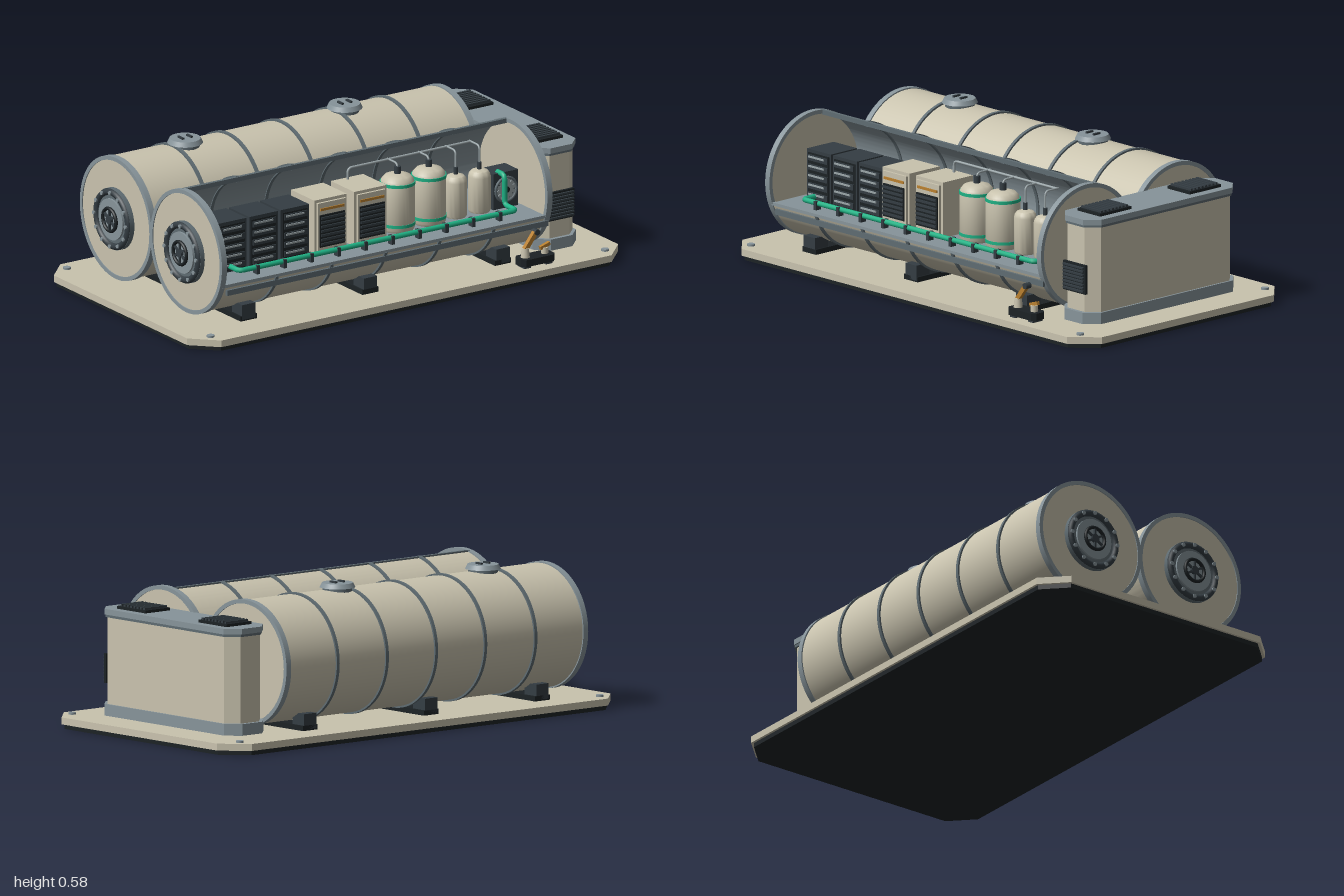
import * as THREE from 'three';
import { toCreasedNormals } from 'three/addons/utils/BufferGeometryUtils.js';

const mat = (name, color) => Object.assign(new THREE.MeshStandardMaterial({ color }), { name });
const tan = mat('warm tan', 0xc9c3ae), grey = mat('blue grey', 0x87949a), trim = mat('trim grey', 0x5f6c72);
const dark = mat('charcoal', 0x343d43), black = mat('near black', 0x1c2225);
const green = mat('pipe green', 0x1fb285), orange = mat('amber', 0xb9802f);
const steel = mat('equipment face', 0x9aa5a8);

const X0 = -0.84, X1 = 0.67, CY = 0.305, R = 0.24, FZ = 0.23, BZ = -0.25;
const RIBS = [-0.585, -0.33, -0.08, 0.17, 0.42];
const OPEN_LOW = 200.7 * Math.PI / 180, OPEN_TOP = 440 * Math.PI / 180;

function add(parent, name, geo, m, x = 0, y = 0, z = 0) {
  const mesh = new THREE.Mesh(geo, m);
  mesh.name = name;
  mesh.position.set(x, y, z);
  parent.add(mesh);
  return mesh;
}
function group(parent, name, x = 0, y = 0, z = 0) {
  const g = new THREE.Group();
  g.name = name;
  g.position.set(x, y, z);
  parent.add(g);
  return g;
}
const box = (w, h, d) => new THREE.BoxGeometry(w, h, d);
const cyl = (r, h, n = 32, r2 = r) => new THREE.CylinderGeometry(r2, r, h, n);
const cylX = (r, h, n = 64) => cyl(r, h, n).rotateZ(-Math.PI / 2);
const torusX = (r, t) => new THREE.TorusGeometry(r, t, 8, 40).rotateY(Math.PI / 2);

// Slab with chamfered corners in plan, rising from y = 0
function slab(w, d, h, c) {
  const a = w / 2, b = d / 2;
  const pts = [[-a + c, -b], [a - c, -b], [a, -b + c], [a, b - c], [a - c, b], [-a + c, b], [-a, b - c], [-a, -b + c]];
  const s = new THREE.Shape(pts.map(p => new THREE.Vector2(...p)));
  return new THREE.ExtrudeGeometry(s, { depth: h, bevelEnabled: false }).rotateX(-Math.PI / 2);
}
// Curved band around the x axis; angle 90 degrees is up, 180 faces front
function band(ri, ro, width, a0, a1) {
  const s = new THREE.Shape();
  s.absarc(0, 0, ro, a0, a1, false);
  s.absarc(0, 0, ri, a1, a0, true);
  const g = new THREE.ExtrudeGeometry(s, { depth: width, bevelEnabled: false, curveSegments: 64 });
  return toCreasedNormals(g.translate(0, 0, -width / 2).rotateY(Math.PI / 2), 0.5);
}
// Pipe made of straight runs with tight rounded bends
function pipe(pts, r) {
  const v = pts.map(p => new THREE.Vector3(...p)), path = new THREE.CurvePath();
  let from = v[0];
  for (let i = 1; i < v.length - 1; i++) {
    const a = v[i].clone().add(v[i - 1].clone().sub(v[i]).setLength(0.02));
    const b = v[i].clone().add(v[i + 1].clone().sub(v[i]).setLength(0.02));
    path.add(new THREE.LineCurve3(from, a));
    path.add(new THREE.QuadraticBezierCurve3(a, v[i], b));
    from = b;
  }
  path.add(new THREE.LineCurve3(from, v[v.length - 1]));
  return new THREE.TubeGeometry(path, 140, r, 10);
}
// Louvred vent facing +y
function vent(parent, name, w, d, x, y, z) {
  const g = group(parent, name, x, y, z);
  add(g, 'ventFrame', box(w, 0.012, d), black, 0, 0.006, 0);
  for (let i = 0; i < 8; i++) add(g, 'ventSlat', box(w * 0.9, 0.008, d * 0.06), dark, 0, 0.016, (i - 3.5) * d * 0.115);
  return g;
}

function buildBase(root) {
  const g = group(root, 'basePlate');
  add(g, 'baseUnderside', slab(1.98, 1.08, 0.018, 0.09), black);
  add(g, 'baseDeck', slab(2, 1.1, 0.027, 0.095), tan, 0, 0.018, 0);
  for (const x of [-0.915, 0.915]) for (const z of [-0.49, 0.49]) add(g, 'anchorBolt', cyl(0.015, 0.008, 12), grey, x, 0.049, z);
}

// Ends, rims, round door and saddles shared by both tanks
function buildTankEnds(g) {
  for (const x of [X0, X1]) {
    add(g, 'endCap', cylX(0.234, 0.016), tan, x, 0, 0);
    add(g, 'endRim', band(0.229, 0.245, 0.024, 0, Math.PI * 2), grey, x, 0, 0);
  }
  const door = group(g, 'endDoor', X0 - 0.008, 0, 0);
  add(door, 'doorPlate', cylX(0.122, 0.02, 40), trim, -0.01, 0, 0);
  add(door, 'doorSeal', torusX(0.108, 0.014), dark, -0.018, 0, 0);
  add(door, 'doorCentre', cylX(0.082, 0.012, 40), grey, -0.022, 0, 0);
  add(door, 'doorWheel', torusX(0.045, 0.007), black, -0.033, 0, 0);
  add(door, 'doorHub', cylX(0.017, 0.018, 16), dark, -0.03, 0, 0);
  for (let i = 0; i < 3; i++) {
    add(door, 'wheelSpoke', box(0.008, 0.09, 0.008), dark, -0.033, 0, 0).rotation.x = i * Math.PI / 3;
  }
  for (let i = 0; i < 12; i++) {
    const a = i * Math.PI / 6;
    add(door, 'doorBolt', cylX(0.008, 0.008, 8), grey, -0.032, 0.108 * Math.cos(a), 0.108 * Math.sin(a));
  }
  for (const x of [-0.68, -0.115, 0.5]) {
    add(g, 'saddleFoot', box(0.075, 0.02, 0.35), black, x, 0.055 - CY, 0);
    for (const s of [-1, 1]) add(g, 'saddleBlock', box(0.062, 0.06, 0.07), dark, x, 0.08 - CY, s * 0.14);
  }
}

function buildBackTank(root) {
  const g = group(root, 'backTank', 0, CY, BZ), mid = (X0 + X1) / 2;
  add(g, 'tankShell', cylX(R, X1 - X0 - 0.004), tan, mid, 0, 0);
  for (const x of RIBS) add(g, 'tankRib', band(0.235, 0.247, 0.014, 0, Math.PI * 2), trim, x, 0, 0);
  buildTankEnds(g);
  for (const x of [-0.53, 0.21]) {
    const h = group(g, 'topHatch', x, 0.235, 0);
    add(h, 'hatchNeck', cyl(0.058, 0.02), trim, 0, 0.005, 0);
    add(h, 'hatchLid', cyl(0.069, 0.018, 40, 0.06), grey, 0, 0.022, 0);
    for (const s of [-1, 1]) add(h, 'hatchHandle', box(0.009, 0.008, 0.034), dark, s * 0.02, 0.034, 0);
  }
}

function buildFrontTank(root) {
  const g = group(root, 'openTank', 0, CY, FZ), mid = (X0 + X1) / 2, len = X1 - X0 - 0.006;
  add(g, 'outerShell', band(0.232, R, len, OPEN_LOW, OPEN_TOP), tan, mid, 0, 0);
  add(g, 'innerLiner', band(0.228, 0.2325, len - 0.004, OPEN_LOW, OPEN_TOP), grey, mid, 0, 0);
  for (const x of RIBS) add(g, 'tankRib', band(0.224, 0.247, 0.014, OPEN_LOW, OPEN_TOP), trim, x, 0, 0);
  buildTankEnds(g);
  add(g, 'upperCoaming', box(len, 0.018, 0.014), trim, mid, 0.232, -0.043);
  add(g, 'lowerCoaming', box(len, 0.012, 0.016), grey, mid, -0.083, 0.221);
  add(g, 'outerRail', box(1.49, 0.022, 0.012), trim, -0.07, -0.112, 0.222);
  add(g, 'floor', box(len - 0.01, 0.01, 0.42), grey, mid, -0.085, 0);
}

function buildEquipment(root) {
  const g = group(root, 'equipment'), Y = 0.225;
  // Server racks
  for (const x of [-0.705, -0.56, -0.415]) {
    const r = group(g, 'rack', x, Y, 0.26);
    add(r, 'rackCase', box(0.132, 0.205, 0.14), dark, 0, 0.1025, 0);
    add(r, 'rackRecess', box(0.115, 0.185, 0.004), black, 0, 0.1, 0.071);
    for (let i = 0; i < 5; i++) {
      add(r, 'rackUnit', box(0.106, 0.023, 0.008), dark, 0, 0.026 + i * 0.037, 0.074);
      add(r, 'rackStrip', box(0.085, 0.007, 0.004), steel, -0.005, 0.03 + i * 0.037, 0.08);
    }
  }
  // Power cabinets
  for (const x of [-0.26, -0.075]) {
    const c = group(g, 'cabinet', x, Y, 0.265);
    add(c, 'cabinetCase', box(0.15, 0.22, 0.16), tan, 0, 0.11, 0);
    add(c, 'cabinetDoor', box(0.13, 0.2, 0.012), tan, 0, 0.108, 0.084);
    add(c, 'cabinetGrille', box(0.116, 0.13, 0.006), black, 0, 0.095, 0.092);
    for (let i = 0; i < 7; i++) add(c, 'grilleSlat', box(0.11, 0.009, 0.006), dark, 0, 0.043 + i * 0.0175, 0.097);
    add(c, 'cabinetStripe', box(0.11, 0.01, 0.005), orange, 0, 0.182, 0.092);
  }
  // Pressure vessels: x, radius, height, banded
  for (const [x, r, h, banded] of [[0.105, 0.067, 0.225, 1], [0.25, 0.067, 0.225, 1], [0.375, 0.044, 0.17, 0], [0.485, 0.044, 0.17, 0]]) {
    const v = group(g, 'vessel', x, Y, 0.265);
    const prof = [[0, 0], [0.9, 0], [1, 0.05], [1, 0.84], [0.93, 0.91], [0.75, 0.97], [0.4, 1], [0, 1.01]];
    const lathe = new THREE.LatheGeometry(prof.map(p => new THREE.Vector2(p[0] * r, p[1] * h)), 32);
    add(v, 'vesselBody', toCreasedNormals(lathe, 0.6), tan);
    add(v, 'vesselValve', cyl(r * 0.2, 0.03, 16), dark, 0, h + 0.014, 0);
    if (banded) for (const y of [0.028, 0.19]) add(v, 'vesselBand', cyl(r + 0.002, 0.012), green, 0, y, 0);
    add(v, 'feedLine', pipe([[0, h + 0.02, 0], [0, 0.265, 0], [0, 0.265, -0.07]], 0.004), steel);
  }
  add(g, 'feedHeader', pipe([[-0.085, 0.44, 0.205], [-0.085, 0.49, 0.205], [0.485, 0.49, 0.205]], 0.005), steel);
  // Circulation fan
  const f = group(g, 'fanUnit', 0.59, Y, 0.245);
  add(f, 'fanCase', box(0.115, 0.145, 0.09), dark, 0, 0.0725, 0);
  add(f, 'fanRing', new THREE.TorusGeometry(0.048, 0.006, 8, 32), trim, 0, 0.075, 0.047);
  for (let i = 0; i < 6; i++) add(f, 'fanBlade', box(0.016, 0.088, 0.005), steel, 0, 0.075, 0.047).rotation.z = i * Math.PI / 6 + 0.2;
  add(f, 'fanHub', cyl(0.013, 0.014, 16).rotateX(Math.PI / 2), black, 0, 0.075, 0.048);
  // Coolant pipe and its clips
  const run = [[-0.72, 0.25, 0.33], [-0.72, 0.25, 0.4], [0.565, 0.25, 0.4], [0.565, 0.25, 0.32], [0.565, 0.37, 0.32], [0.565, 0.37, 0.27]];
  add(g, 'coolantPipe', pipe(run, 0.0105), green);
  for (let i = 0; i < 10; i++) add(g, 'pipeClip', box(0.014, 0.035, 0.027), dark, -0.64 + i * 0.125, 0.242, 0.4);
}

function buildModule(root) {
  const g = group(root, 'utilityModule', 0.778, 0, -0.005);
  add(g, 'moduleSkirt', slab(0.2, 0.8, 0.045, 0.05), grey, 0, 0.053, 0);
  add(g, 'moduleBody', slab(0.184, 0.77, 0.35, 0.045), tan, 0, 0.095, 0);
  add(g, 'moduleRoofTrim', slab(0.196, 0.785, 0.01, 0.048), trim, 0, 0.435, 0);
  add(g, 'moduleRoof', slab(0.2, 0.795, 0.022, 0.05), grey, 0, 0.445, 0);
  for (const z of [-0.24, 0.235]) vent(g, 'roofVent', 0.125, 0.165, 0, 0.466, z);
  vent(g, 'frontVent', 0.125, 0.115, 0, 0.228, 0.384).rotation.x = Math.PI / 2;
}

// Small service manipulator standing beside the open tank
function buildManipulator(root) {
  const g = group(root, 'manipulator', 0.6, 0.045, 0.475);
  add(g, 'manipulatorBase', slab(0.155, 0.07, 0.028, 0.015), black, 0, 0.01, 0);
  for (const x of [-0.05, 0.05]) add(g, 'manipulatorFoot', box(0.03, 0.012, 0.05), dark, x, 0.006, 0);
  add(g, 'manipulatorPost', cyl(0.018, 0.04, 20, 0.014), tan, -0.045, 0.055, 0);
  add(g, 'manipulatorArm', box(0.018, 0.09, 0.018), orange, -0.023, 0.1, 0).rotation.z = -0.65;
  add(g, 'manipulatorElbow', cyl(0.012, 0.026, 16).rotateX(Math.PI / 2), dark, 0.004, 0.132, 0);
  add(g, 'secondPost', cyl(0.014, 0.025, 20), tan, 0.045, 0.05, 0);
  add(g, 'secondArm', box(0.045, 0.014, 0.014), orange, 0.045, 0.068, 0).rotation.z = 0.3;
}

export function createModel() {
  const root = new THREE.Group();
  root.name = 'habitatStation';
  buildBase(root);
  buildBackTank(root);
  buildFrontTank(root);
  buildEquipment(root);
  buildModule(root);
  buildManipulator(root);
  return root;
}
